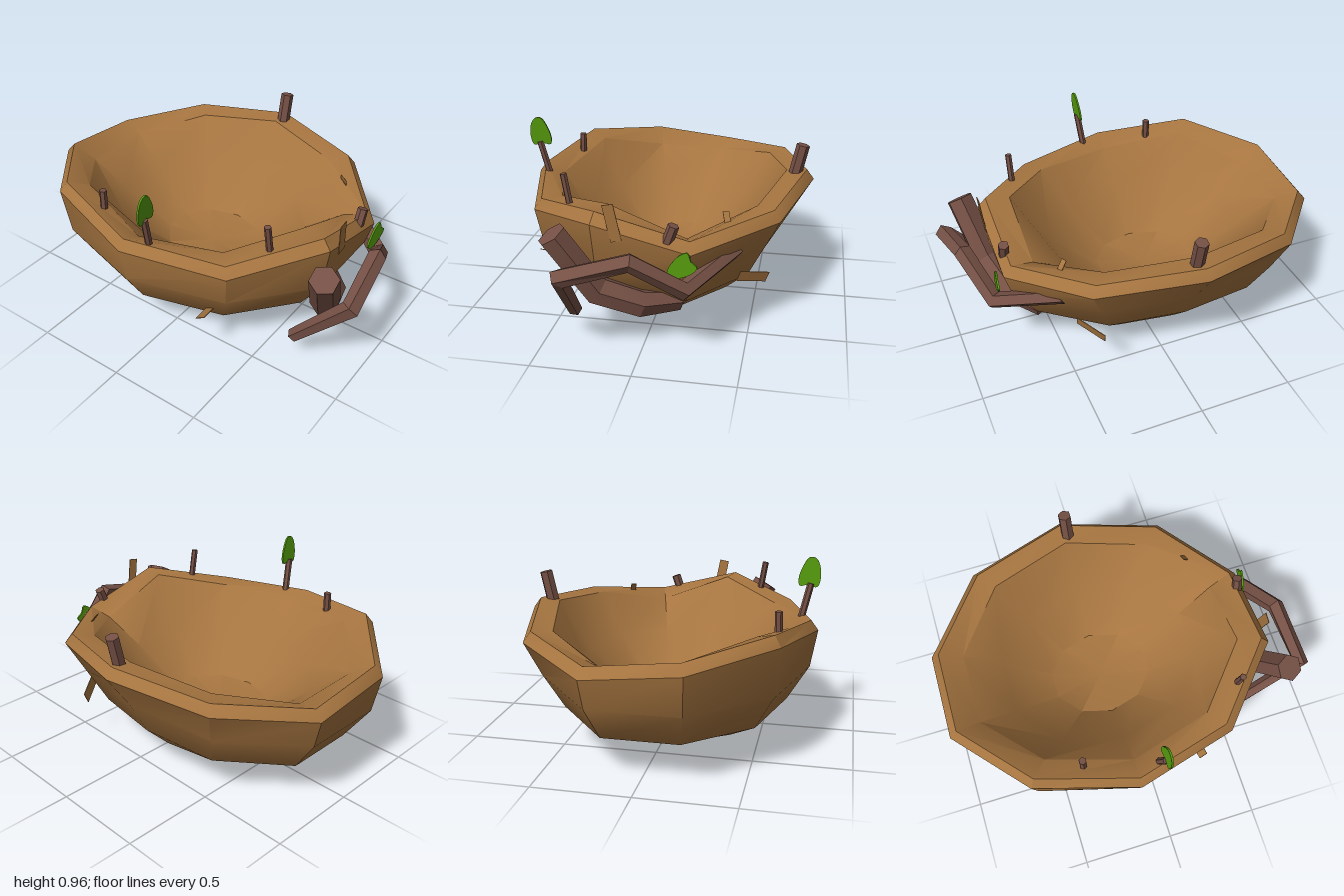
import * as THREE from 'three';
import { toCreasedNormals } from 'three/addons/utils/BufferGeometryUtils.js';

const V = (p) => new THREE.Vector3(...p);
const mat = (color) => new THREE.MeshStandardMaterial({ color });
const earth = mat(0xa67540), wood = mat(0x755045), straw = mat(0xa67540), green = mat(0x559b0e);

// Skin a list of equal rings (arrays of Vector3); rings run so that faces point outwards
function skin(rings, crease) {
  const pos = [];
  const tri = (a, b, c) => {
    if (a.distanceTo(b) < 1e-6 || b.distanceTo(c) < 1e-6 || a.distanceTo(c) < 1e-6) return;
    for (const p of [a, b, c]) pos.push(p.x, p.y, p.z);
  };
  for (let k = 0; k < rings.length - 1; k++) {
    const lo = rings[k], hi = rings[k + 1], n = lo.length;
    for (let j = 0; j < n; j++) {
      const i = (j + 1) % n;
      tri(lo[j], hi[j], lo[i]);
      tri(lo[i], hi[j], hi[i]);
    }
  }
  const g = new THREE.BufferGeometry();
  g.setAttribute('position', new THREE.Float32BufferAttribute(pos, 3));
  g.computeVertexNormals();
  return toCreasedNormals(g, crease);
}

// Ten-sided bowl with an uneven, thick rim
function bowlGeometry() {
  const top = [0.70, 0.65, 0.59, 0.71, 0.63, 0.655, 0.715, 0.66, 0.61, 0.66];
  const lip = [0.69, 0.64, 0.55, 0.705, 0.625, 0.605, 0.68, 0.58, 0.57, 0.645];
  const low = [0.1, 0.09, 0.08, 0.08, 0.1, 0.1, 0.11, 0.13, 0.13, 0.11];
  const pinch = [0.86, 0.92, 1, 1, 1, 1, 1, 1, 1, 0.93];
  const ring = (s, y, pinched) => top.map((_, j) => {
    const a = (j / 10) * Math.PI * 2, r = pinched ? s * pinch[j] : s;
    return new THREE.Vector3(0.785 * r * Math.cos(a), y(j), -0.115 + 0.93 * r * Math.sin(a));
  });
  return skin([
    ring(0, () => 0.003),
    ring(0.31, () => 0.027),
    ring(0.59, (j) => low[j], true),
    ring(0.81, (j) => 0.21 + (1 - pinch[j]) * 0.3, true),
    ring(0.955, (j) => 0.4 + (1 - pinch[j]) * 0.3, true),
    ring(1, (j) => top[j] - 0.053),
    ring(0.95, (j) => top[j]),
    ring(0.81, (j) => lip[j]),
    ring(0.59, () => 0.42),
    ring(0.31, () => 0.22),
    ring(0, () => 0.19),
  ], 0.6);
}

// Angular branch along a bent path, with a radius at each point
function branchGeometry(path, radii, sides) {
  const pts = path.map(V);
  const side = new THREE.Vector3(0, 0, 1);
  const rings = pts.map((p, k) => {
    const before = pts[Math.max(k - 1, 0)], after = pts[Math.min(k + 1, pts.length - 1)];
    const t = after.clone().sub(p).normalize().add(p.clone().sub(before).normalize()).normalize();
    side.addScaledVector(t, -side.dot(t)).normalize();
    const up = new THREE.Vector3().crossVectors(side, t);
    return Array.from({ length: sides }, (_, j) => {
      const a = ((j + 0.5) / sides) * Math.PI * 2;
      return p.clone().addScaledVector(side, radii[k] * Math.cos(a)).addScaledVector(up, radii[k] * Math.sin(a));
    });
  });
  const cap = (p) => Array.from({ length: sides }, () => p.clone());
  return skin([cap(pts[0]), ...rings, cap(pts.at(-1))], 0.2);
}

// Teardrop leaf, centred on its middle
function leafGeometry(w, h) {
  const outline = [[0, -0.42], [0.4, -0.5], [0.5, -0.25], [0.36, 0.2], [0.14, 0.48], [-0.16, 0.48], [-0.4, 0.25], [-0.5, -0.25], [-0.38, -0.48]];
  const curve = new THREE.CatmullRomCurve3(outline.map(([x, y]) => new THREE.Vector3(x * w, y * h, 0)), true);
  const shape = new THREE.Shape(curve.getPoints(24).map((p) => new THREE.Vector2(p.x, p.y)));
  return new THREE.ExtrudeGeometry(shape, { depth: 0.01, bevelEnabled: false }).translate(0, 0, -0.005);
}

export function createModel() {
  const model = new THREE.Group();
  const add = (name, geometry, material) => {
    const mesh = new THREE.Mesh(geometry, material);
    mesh.name = name;
    model.add(mesh);
    return mesh;
  };

  add('bowl', bowlGeometry(), earth);

  // Bent branches on the front
  add('thickBranch', branchGeometry(
    [[-0.41, 0.625, 0.835], [-0.225, 0.315, 0.755], [-0.02, 0.225, 0.69], [0.15, 0.19, 0.56]],
    [0.075, 0.078, 0.072, 0.052], 6), wood);
  add('thinBranch', branchGeometry(
    [[-0.365, 0.14, 0.66], [-0.345, 0.46, 0.955], [-0.02, 0.55, 0.915], [0.22, 0.385, 0.825], [0.43, 0.48, 0.52]],
    [0.036, 0.05, 0.048, 0.05, 0.042], 5), wood);

  // Short upright twigs on the rim
  const twigs = [
    [[-0.68, 0.6, 0.0], [-0.73, 0.82, 0.02], 0.019],
    [[-0.6, 0.62, -0.375], [-0.597, 0.76, -0.375], 0.02],
    [[-0.4, 0.6, 0.53], [-0.437, 0.82, 0.53], 0.018],
    [[0.67, 0.62, -0.09], [0.718, 0.845, -0.09], 0.036],
    [[0.105, 0.53, 0.73], [0.155, 0.67, 0.735], 0.028],
  ];
  for (const [from, to, r] of twigs) add('twig', branchGeometry([from, to], [r, r], 6), wood);

  // Flat straws: start, end, width, and direction across the strip
  const straws = [
    [[-0.115, 0.58, 0.765], [-0.15, 0.77, 0.78], 0.055, [1, 0, 0]],
    [[0.395, 0.58, 0.54], [0.37, 0.66, 0.485], 0.032, [1, 0, -0.4]],
    [[0.44, 0.3, 0.455], [0.58, 0.26, 0.355], 0.06, [0.5, 1, 0]],
    [[-0.53, 0.26, 0.27], [-0.665, 0.285, 0.29], 0.05, [0, 0.5, 1]],
  ];
  for (const [from, to, width, across] of straws) {
    const a = V(from), b = V(to);
    const yAxis = b.clone().sub(a).normalize();
    const zAxis = V(across).cross(yAxis).normalize();
    const xAxis = new THREE.Vector3().crossVectors(yAxis, zAxis);
    const g = new THREE.BoxGeometry(width, a.distanceTo(b), 0.004);
    g.applyMatrix4(new THREE.Matrix4().makeBasis(xAxis, yAxis, zAxis).setPosition(a.add(b).multiplyScalar(0.5)));
    add('straw', g, straw);
  }

  // Leaves
  const upper = add('upperLeaf', leafGeometry(0.115, 0.16), green);
  upper.position.set(-0.725, 0.88, 0.025);
  upper.rotation.set(0.08, 0.05, 0.1);
  const lower = add('lowerLeaf', leafGeometry(0.105, 0.145), green);
  lower.position.set(0.2, 0.49, 0.8);
  lower.rotation.set(0, -0.1, 2.2);

  return model;
}
